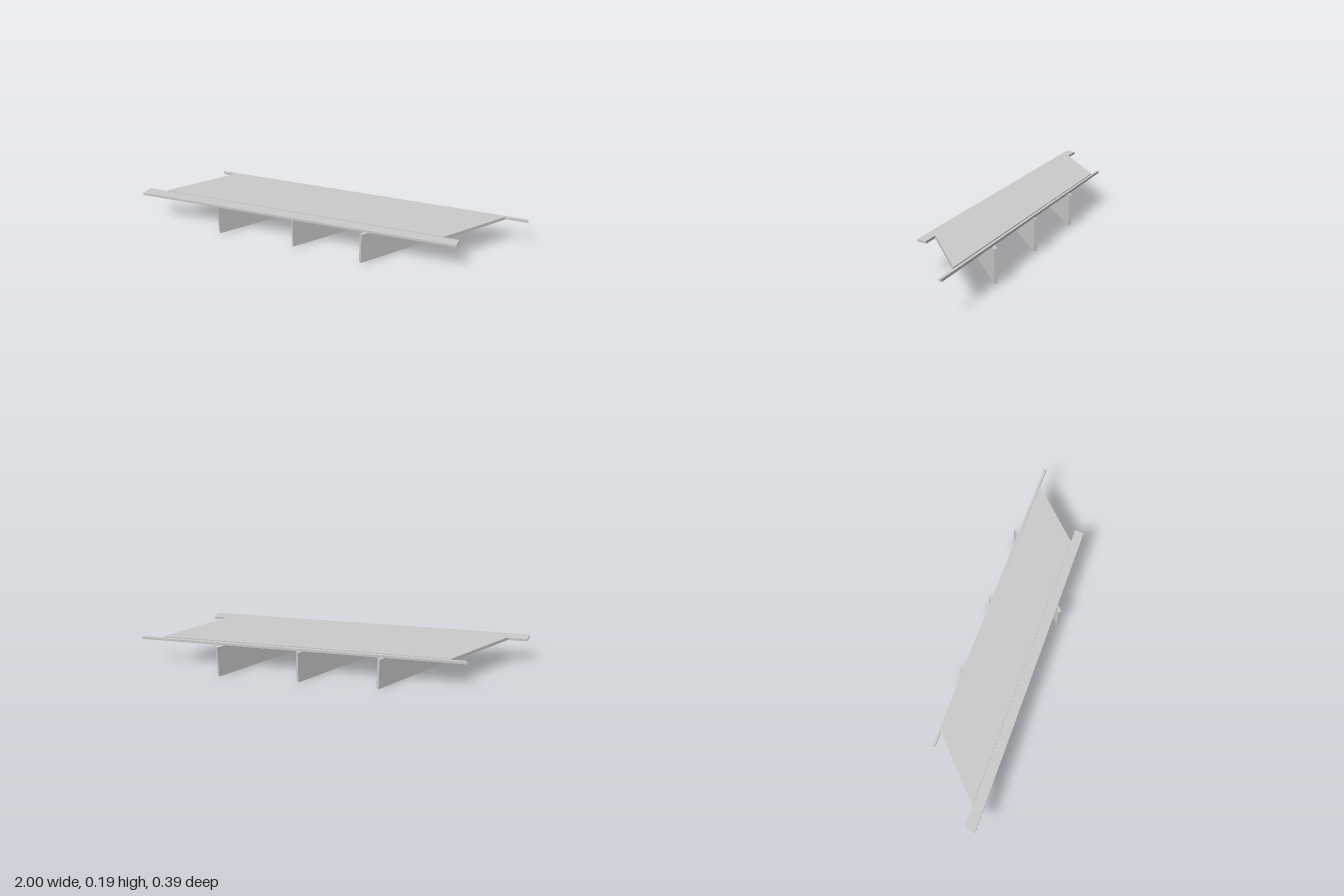
import * as THREE from 'three';

export function createModel() {
  const group = new THREE.Group();
  const material = new THREE.MeshStandardMaterial({ color: 0xcccccc, flatShading: true });

  // Horizontal slab from a plan outline of [x, z] corners
  function slab(name, corners, bottom, top) {
    const shape = new THREE.Shape(corners.map(([x, z]) => new THREE.Vector2(x, -z)));
    const geometry = new THREE.ExtrudeGeometry(shape, { depth: top - bottom, bevelEnabled: false });
    geometry.rotateX(-Math.PI / 2).translate(0, bottom, 0);
    const mesh = new THREE.Mesh(geometry, material);
    mesh.name = name;
    group.add(mesh);
  }

  const underside = 0.173;

  // Skewed roadway, slightly proud of the kerbs
  slab('roadDeck', [[-0.885, 0.114], [0.615, 0.12], [0.885, -0.149], [-0.597, -0.161]], underside, 0.19);

  // Wide walkway along the front, narrow kerb along the back
  slab('frontWalkway', [[-1, 0.17], [0.686, 0.17], [0.692, 0.12], [-0.985, 0.114]], underside, 0.186);
  slab('backKerb', [[-0.67, -0.161], [1, -0.15], [1, -0.164], [-0.68, -0.174]], underside, 0.186);

  // Three thin pier walls, set at the skew angle: [x, z, length]
  const thickness = 0.017;
  [[-0.41, -0.019, 0.478], [0.006, -0.015, 0.478], [0.403, 0.001, 0.541]].forEach(([x, z, length], i) => {
    const pier = new THREE.Mesh(new THREE.BoxGeometry(length, underside, thickness), material);
    pier.position.set(x, underside / 2, z);
    pier.rotation.y = Math.PI / 4;
    pier.name = `pier${i + 1}`;
    group.add(pier);
  });

  return group;
}
